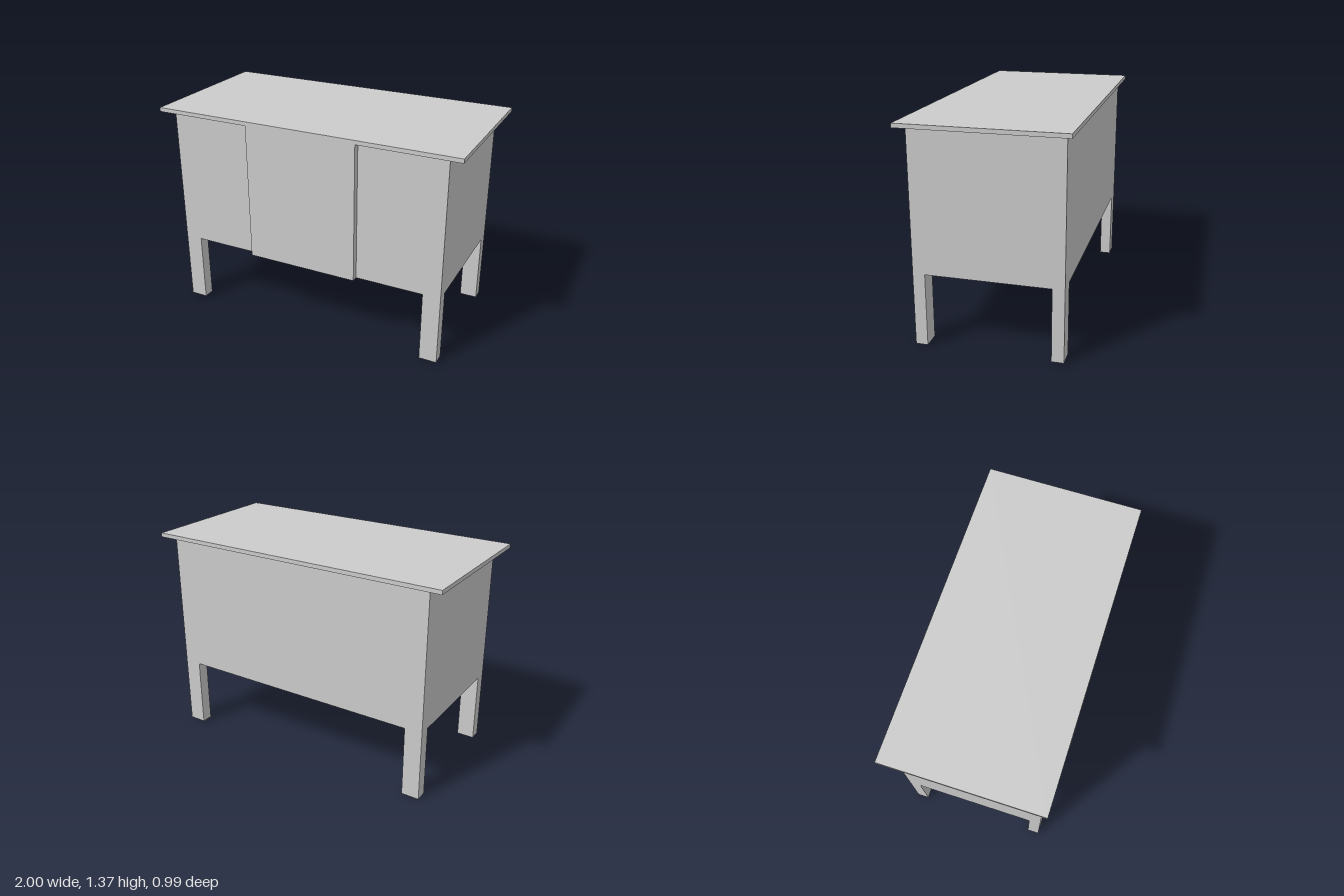
import * as THREE from 'three';

export function createModel() {
  const group = new THREE.Group();
  const material = new THREE.MeshStandardMaterial({ color: 0xcccccc, flatShading: true });

  // Box given by its extents on each axis
  function addBox(name, [x0, x1], [y0, y1], [z0, z1]) {
    const mesh = new THREE.Mesh(new THREE.BoxGeometry(x1 - x0, y1 - y0, z1 - z0), material);
    mesh.position.set((x0 + x1) / 2, (y0 + y1) / 2, (z0 + z1) / 2);
    mesh.name = name;
    group.add(mesh);
  }

  const bottom = 0.458, topUnder = 1.343, topHeight = 1.369;
  const halfW = 0.912, halfD = 0.455, topHalfD = 0.497;
  const legW = 0.113, legD = 0.075;

  // Thin overhanging top, cabinet body and raised centre panel
  addBox('tableTop', [-1, 1], [topUnder, topHeight], [-topHalfD, topHalfD]);
  addBox('cabinetBody', [-halfW, halfW], [bottom, topUnder], [-halfD, halfD]);
  addBox('frontPanel', [-0.365, 0.365], [bottom, topUnder], [halfD, topHalfD - 0.001]);

  // Four legs flush with the corners of the body
  for (const [side, sx] of [['Left', 1], ['Right', -1]]) {
    for (const [end, sz] of [['front', 1], ['back', -1]]) {
      const x = [sx * halfW, sx * (halfW - legW)].sort((a, b) => a - b);
      const z = [sz * halfD, sz * (halfD - legD)].sort((a, b) => a - b);
      addBox(`${end}${side}Leg`, x, [0, bottom], z);
    }
  }
  return group;
}
